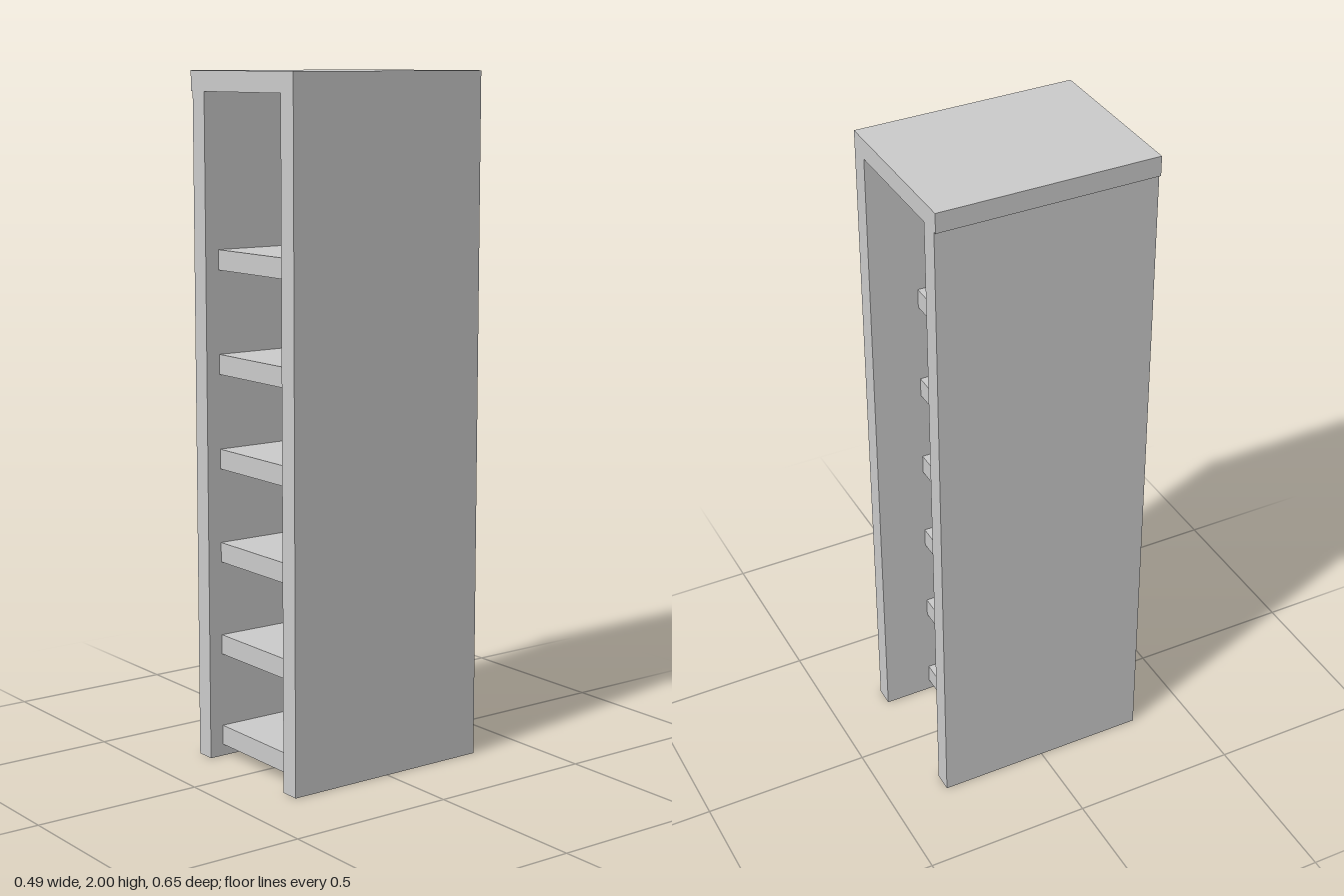
import * as THREE from 'three';

export function createModel() {
  const group = new THREE.Group();
  const material = new THREE.MeshStandardMaterial({ color: 0xcccccc, flatShading: true });
  const board = 0.058; // thickness shared by every board
  const depth = 0.65;

  // Adds a board given its extents along each axis
  function addBoard(name, [x0, x1], [y0, y1], [z0, z1]) {
    const mesh = new THREE.Mesh(new THREE.BoxGeometry(x1 - x0, y1 - y0, z1 - z0), material);
    mesh.position.set((x0 + x1) / 2, (y0 + y1) / 2, (z0 + z1) / 2);
    mesh.name = name;
    group.add(mesh);
  }

  const fullDepth = [-depth / 2, depth / 2];
  const underTop = 2 - board;
  const rightX = -0.238, leftX = 0.247; // outer faces of the side panels

  // Top board, overhanging slightly on the right side only
  addBoard('topBoard', [-0.247, leftX], [underTop, 2], fullDepth);

  // Side panels
  addBoard('rightPanel', [rightX, rightX + board], [0, underTop], fullDepth);
  addBoard('leftPanel', [leftX - board, leftX], [0, underTop], fullDepth);

  // Shelves, set back a little at the front and more at the rear
  [0.093, 0.369, 0.646, 0.922, 1.198, 1.498].forEach((top, i) => {
    addBoard(`shelf${i + 1}`, [rightX + board, leftX - board], [top - board, top], [-0.18, 0.282]);
  });

  return group;
}
